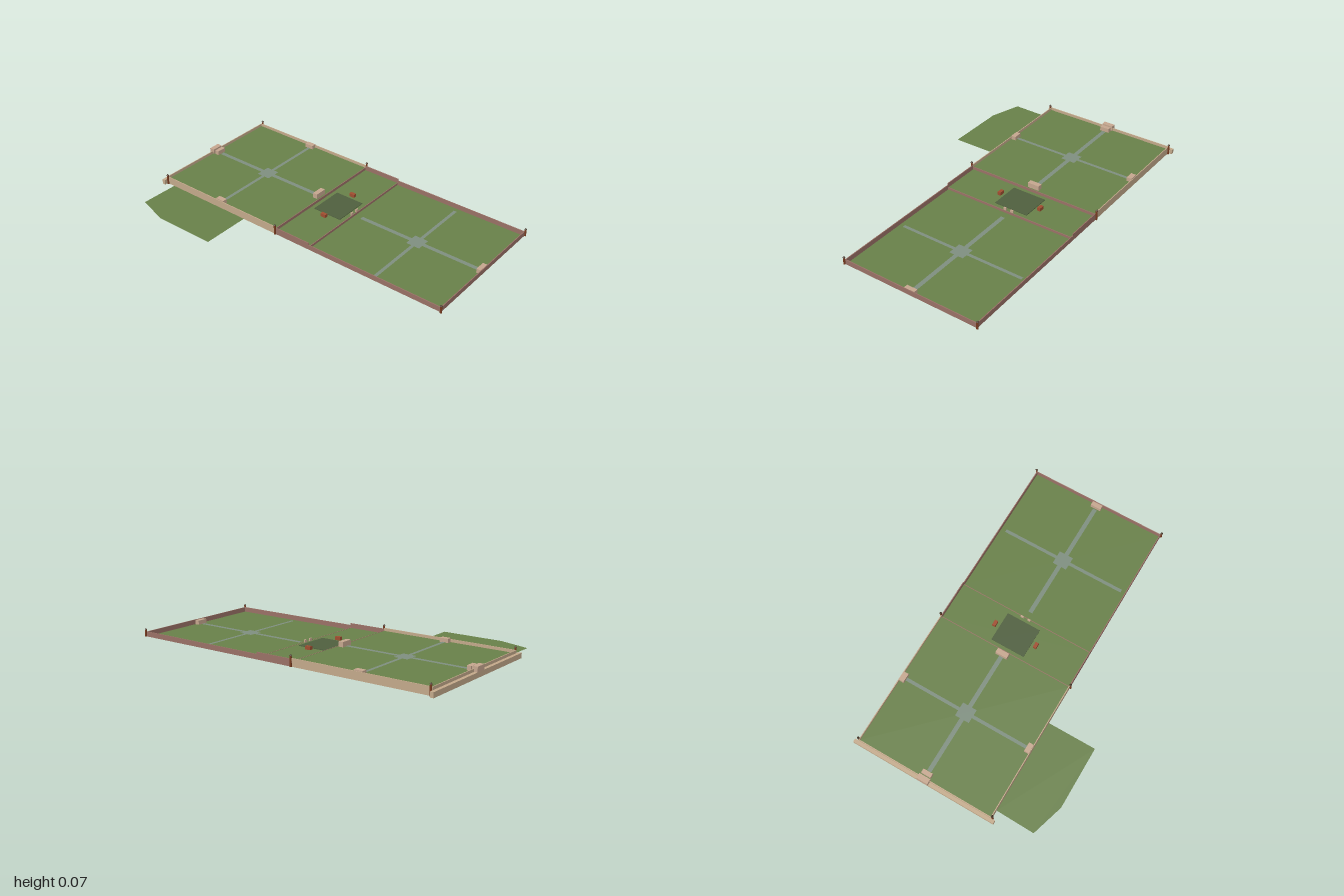
import * as THREE from 'three';

const mat = (name, color, side = THREE.FrontSide) => {
  const m = new THREE.MeshStandardMaterial({ color, side });
  m.name = name;
  return m;
};

export function createModel() {
  const model = new THREE.Group();
  model.name = 'walledGarden';
  const grass = mat('grass', 0x69814a, THREE.DoubleSide);
  const path = mat('greyPath', 0x7f8f80, THREE.DoubleSide);
  const pool = mat('darkPool', 0x50603f);
  const brick = mat('redBrick', 0x9a7166);
  const stone = mat('tanStone', 0xc4aa8b);
  const pale = mat('paleStone', 0xc6a78f);
  const wood = mat('postWood', 0x7a3c20);
  const dark = mat('darkCap', 0x4a3a2c);
  const red = mat('redBench', 0xa04e30);

  const add = (name, geo, material) => {
    const mesh = new THREE.Mesh(geo, material);
    mesh.name = name;
    model.add(mesh);
    return mesh;
  };
  // Box given by its limits on each axis
  const box = (name, material, x0, x1, y0, y1, z0, z1) => {
    const b = add(name, new THREE.BoxGeometry(x1 - x0, y1 - y0, z1 - z0), material);
    b.position.set((x0 + x1) / 2, (y0 + y1) / 2, (z0 + z1) / 2);
  };
  // Flat horizontal sheet
  const sheet = (name, material, x0, x1, z0, z1, y) => {
    const g = new THREE.PlaneGeometry(x1 - x0, z1 - z0).rotateX(-Math.PI / 2);
    add(name, g, material).position.set((x0 + x1) / 2, y, (z0 + z1) / 2);
  };

  const L = -0.295, R = 0.563, C = 0.133, T = 0.005;

  // Three terraces, each with its side walls
  const terraces = [
    { name: 'front', z0: 0.125, z1: 0.988, y: 0.001, top: 0.03, m: brick },
    { name: 'middle', z0: -0.118, z1: 0.125, y: 0.014, top: 0.042, m: brick },
    { name: 'back', z0: -0.975, z1: -0.118, y: 0.03, top: 0.047, m: stone },
  ];
  for (const t of terraces) {
    sheet(t.name + 'Lawn', grass, L, R, t.z0, t.z1, t.y);
    box(t.name + 'WallRight', t.m, L, L + T, 0, t.top, t.z0, t.z1);
    box(t.name + 'WallLeft', t.m, R - T, R, 0, t.top, t.z0, t.z1);
  }

  // End walls and the retaining steps between terraces
  box('frontWall', brick, L, R, 0, 0.03, 0.983, 0.988);
  box('lowerRetainingWall', brick, L, R, 0, 0.015, 0.121, 0.125);
  box('upperRetainingWall', brick, L, R, 0, 0.031, -0.122, -0.118);
  box('backWall', stone, L, R, 0, 0.047, -0.98, -0.975);
  box('backPlinth', stone, -0.318, 0.587, 0, 0.03, -1, -0.98);

  // Side lawn
  const pts = [[-0.59, -0.355], [L, -0.355], [L, -0.925], [-0.53, -0.93], [-0.59, -0.735]];
  const shape = new THREE.Shape(pts.map(([x, z]) => new THREE.Vector2(x, -z)));
  add('sideLawn', new THREE.ShapeGeometry(shape).rotateX(-Math.PI / 2), grass).position.y = 0.001;

  // Crossing paths on the front and back terraces
  for (const [z, z0, z1, y] of [[0.555, 0.17, 0.95, 0.003], [-0.545, -0.93, -0.16, 0.032]]) {
    sheet('longPath', path, C - 0.013, C + 0.013, z0, z1, y);
    sheet('crossPath', path, -0.262, 0.528, z - 0.01, z + 0.01, y + 0.0004);
    sheet('pathCentre', path, C - 0.045, C + 0.045, z - 0.043, z + 0.043, y + 0.0008);
  }

  // Pool and benches on the middle terrace
  box('pool', pool, 0.025, 0.24, 0.014, 0.018, -0.092, 0.095);
  for (const x of [-0.003, 0.27])
    box('bench', red, x - 0.01, x + 0.01, 0.014, 0.034, -0.016, 0.018);

  // Stair blocks at the entrances
  box('frontStair', pale, C - 0.033, C + 0.033, 0, 0.027, 0.955, 0.983);
  box('upperStair', pale, C - 0.037, C + 0.037, 0.03, 0.06, -0.16, -0.13);
  box('backStair', pale, C - 0.03, C + 0.03, 0.03, 0.056, -0.96, -0.935);
  box('backGate', pale, C - 0.035, C + 0.035, 0, 0.06, -1, -0.968);
  box('rightStair', pale, -0.292, -0.262, 0.03, 0.054, -0.573, -0.518);
  box('leftStair', pale, 0.528, 0.56, 0.03, 0.054, -0.573, -0.518);
  for (const x of [-0.023, 0.023])
    box('lowerStair', pale, C + x - 0.009, C + x + 0.009, 0.014, 0.03, 0.113, 0.121);

  // Posts with dark pointed caps
  for (const [z, h] of [[0.99, 0.042], [-0.115, 0.06], [-0.972, 0.06]])
    for (const x of [-0.298, 0.566]) {
      const p = add('post', new THREE.CylinderGeometry(0.006, 0.006, h, 8), wood);
      p.position.set(x, h / 2, z);
      const c = add('postCap', new THREE.ConeGeometry(0.0075, 0.01, 8), dark);
      c.position.set(x, h + 0.005, z);
    }
  return model;
}
